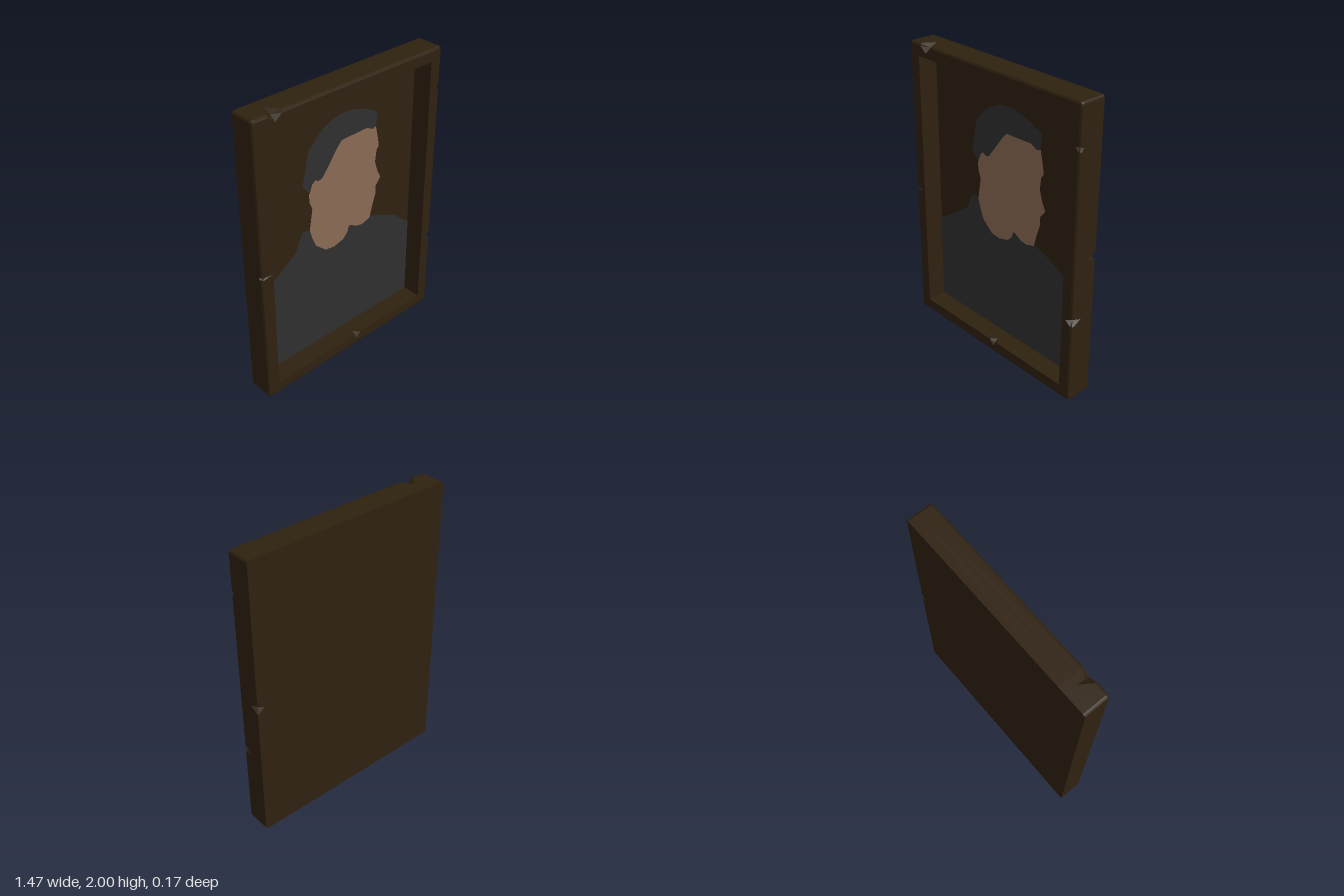
import * as THREE from 'three';

const W = 0.735, H = 2, Z = 0.087, RAIL = 0.085, R = 0.02, FLOOR = -0.05;
const wood = new THREE.MeshStandardMaterial({ name: 'darkWood', color: 0x2e210f });
const skin = new THREE.MeshStandardMaterial({ name: 'skin', color: 0x8a6a54 });
const cloth = new THREE.MeshStandardMaterial({ name: 'charcoal', color: 0x2f2f2f });

// Rail cross-section as [distance in from the outer edge, z], from back round to the recess
const E = 0.016;
const profile = [
  [RAIL, -Z], [0.04, -Z], [0, -Z], [0, -0.02], [0, 0.01],
  [0, Z - E], [E * 0.3, Z - E * 0.3], [E, Z],
  [0.035, Z], [0.05, Z], [RAIL, Z], [RAIL, 0.04], [RAIL, FLOOR],
];

// Chips: pull the profile corner into a pit, d = reach across the face, s = reach down the side
function chipped(kind, d, s) {
  const p = profile.map(q => q.slice());
  if (kind === 'front') {
    p[4] = [0, Z - s];
    p[5] = p[6] = p[7] = [d * 0.45, Z - s * 0.45];
    p[8] = [d, Z];
    p[9][0] = Math.max(d, 0.05);
  } else if (kind === 'back') {
    p[1] = [d, -Z];
    p[2] = [d * 0.45, -Z + s * 0.45];
    p[3] = [0, -Z + s];
  } else {
    p[9] = [RAIL - d, Z];
    p[10] = [RAIL - d * 0.45, Z - s * 0.45];
    p[11] = [RAIL, Z - s];
  }
  return p;
}

// Stations run anticlockwise round the frame; a chip adds a start, a tip and an end
function frameStations() {
  const out = [];
  const add = (x, y, prof = profile, tip = false) => out.push({ x, y, prof, tip });
  const corner = (cx, cy, start) => {
    for (let k = 0; k <= 3; k++) {
      const a = start + k * Math.PI / 6;
      add(cx + R * Math.cos(a), cy + R * Math.sin(a));
    }
  };
  const chip = (at, a, tip, b, kind, d, s) => {
    add(...at(a));
    add(...at(tip), chipped(kind, d, s), true);
    add(...at(b));
  };
  const bottom = v => [v, 0], right = v => [W, v], top = v => [v, H], left = v => [-W, v];
  corner(-W + R, R, Math.PI);
  chip(bottom, 0, 0.035, 0.07, 'inner', 0.035, 0.04);
  corner(W - R, R, -Math.PI / 2);
  chip(right, 0.565, 0.595, 0.62, 'front', 0.055, 0.075);
  chip(right, 0.965, 1.0, 1.035, 'back', 0.05, 0.065);
  chip(right, 1.71, 1.735, 1.745, 'front', 0.035, 0.035);
  corner(W - R, H - R, 0);
  chip(top, -0.53, -0.58, -0.63, 'front', 0.055, 0.09);
  corner(-W + R, H - R, Math.PI / 2);
  chip(left, 0.97, 0.966, 0.952, 'front', 0.08, 0.03);
  return out;
}

function frameGeometry() {
  const stations = frameStations(), pos = [];
  const rings = stations.map(({ x, y, prof }) => {
    const ix = THREE.MathUtils.clamp(x, -W + RAIL, W - RAIL);
    const iy = THREE.MathUtils.clamp(y, RAIL, H - RAIL);
    return prof.map(([o, z]) => [x + (ix - x) * o / RAIL, y + (iy - y) * o / RAIL, z]);
  });
  const cornerFirst = [2, 7, 10];   // segments whose sharp corner is their first point
  for (let j = 0; j < rings.length; j++) {
    const n = (j + 1) % rings.length, A = rings[j], B = rings[n];
    for (let i = 0; i < profile.length - 1; i++) {
      const a = A[i], b = B[i], c = B[i + 1], d = A[i + 1];
      // choose the diagonal that keeps each chip a clean V
      const acDiagonal = stations[n].tip === cornerFirst.includes(i);
      pos.push(...(acDiagonal ? [a, b, c, a, c, d] : [a, b, d, b, c, d]).flat());
    }
  }
  const g = new THREE.BufferGeometry();
  g.setAttribute('position', new THREE.Float32BufferAttribute(pos, 3));
  g.computeVertexNormals();
  return g;
}

// Painted shapes lying just above the recessed panel
function painted(points, material, name, layer) {
  const shape = new THREE.Shape(points.map(([x, y]) => new THREE.Vector2(x, y)));
  const m = new THREE.Mesh(new THREE.ShapeGeometry(shape), material);
  m.position.z = FLOOR + 0.003 * layer;
  m.name = name;
  return m;
}

export function createModel() {
  const model = new THREE.Group();
  model.name = 'framedPortrait';

  const frame = new THREE.Mesh(frameGeometry(), wood);
  frame.name = 'chippedFrame';

  const panel = new THREE.Mesh(
    new THREE.BoxGeometry(2 * (W - RAIL), H - 2 * RAIL, FLOOR + Z), wood);
  panel.position.set(0, H / 2, (FLOOR - Z) / 2);
  panel.name = 'backPanel';

  const coat = painted([
    [-0.65, 0.085], [0.65, 0.085], [0.65, 0.68], [0.6, 0.71], [0.51, 0.79], [0.4, 0.84],
    [0.28, 0.89], [0, 0.92], [-0.2, 0.92], [-0.25, 1.02], [-0.3, 1.03], [-0.33, 0.99],
    [-0.36, 0.91], [-0.5, 0.81], [-0.65, 0.71],
  ], cloth, 'coat', 1);

  const face = painted([
    [-0.25, 1.28], [-0.22, 1.35], [-0.18, 1.4], [0, 1.6], [0.25, 1.6], [0.31, 1.55],
    [0.33, 1.46], [0.34, 1.4], [0.32, 1.37], [0.31, 1.29], [0.335, 1.21], [0.36, 1.16],
    [0.34, 1.13], [0.32, 1.11], [0.32, 1.05], [0.29, 0.96], [0.27, 0.88], [0.2, 0.86],
    [0.15, 0.87], [0.1, 0.9], [0.08, 0.9], [0.07, 0.86], [0.03, 0.82], [-0.05, 0.8],
    [-0.12, 0.81], [-0.2, 0.88], [-0.23, 0.95], [-0.25, 1.02], [-0.225, 1.17], [-0.245, 1.22],
  ], skin, 'face', 2);

  const hair = painted([
    [-0.3, 1.36], [-0.28, 1.45], [-0.25, 1.58], [-0.15, 1.68], [-0.05, 1.73], [0.03, 1.74],
    [0.13, 1.73], [0.24, 1.69], [0.32, 1.65], [0.31, 1.55], [0.28, 1.54], [0.23, 1.565],
    [0.02, 1.56], [-0.01, 1.53], [-0.14, 1.36], [-0.17, 1.35], [-0.2, 1.365],
    [-0.225, 1.345], [-0.245, 1.29],
  ], cloth, 'hair', 3);

  model.add(frame, panel, coat, face, hair);
  return model;
}
